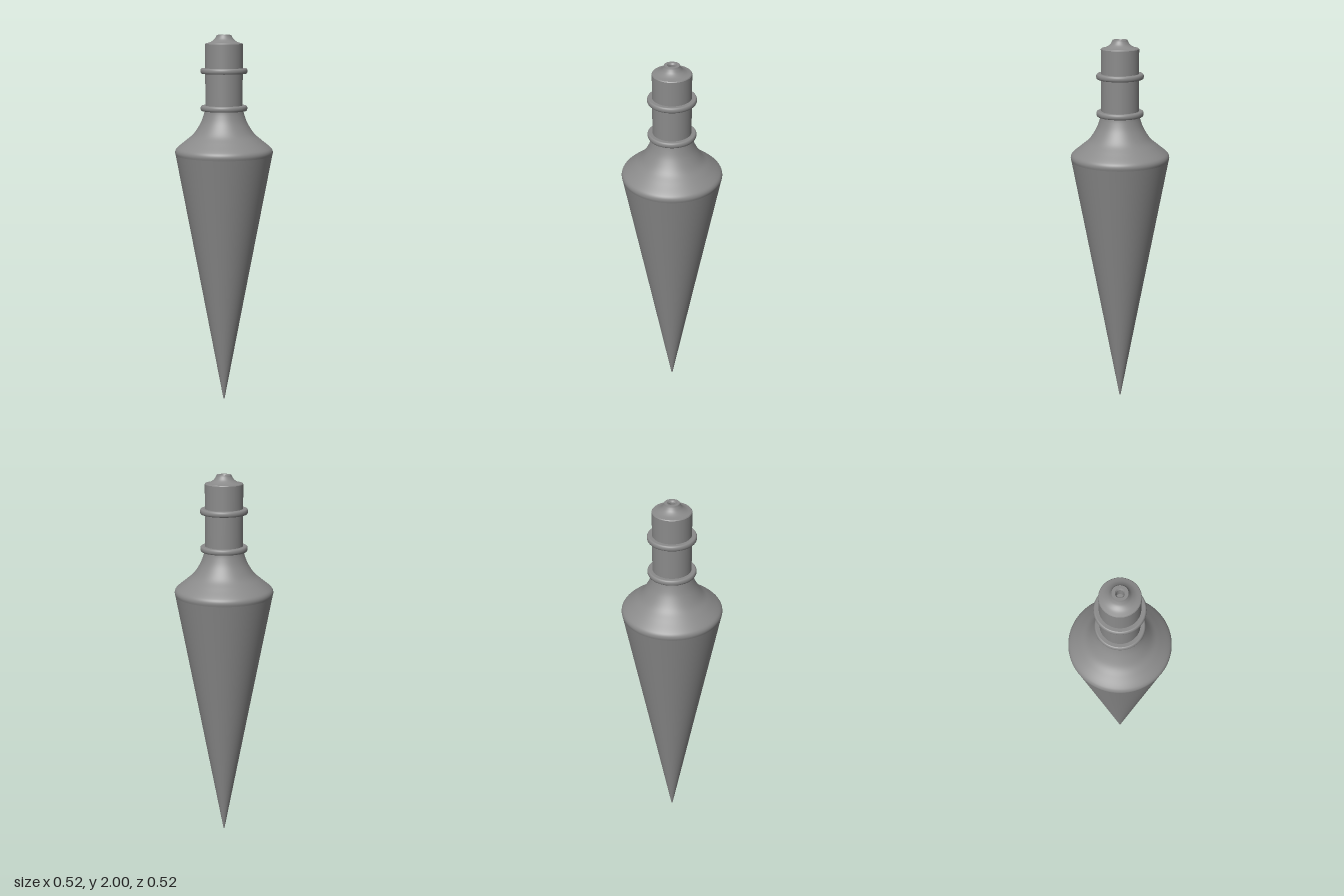
import * as THREE from 'three';

export function createModel() {
  const group = new THREE.Group();
  const steel = new THREE.MeshStandardMaterial({ color: 0x8a8a8a });
  steel.name = 'grey steel';

  const turn = (name, points) => {
    const mesh = new THREE.Mesh(new THREE.LatheGeometry(points, 96), steel);
    mesh.name = name;
    group.add(mesh);
  };
  const pts = (list) => list.map(([r, y]) => new THREE.Vector2(r, y));
  const smooth = (list, n = 24) => new THREE.SplineCurve(pts(list)).getPoints(n);
  // one lathe per segment keeps the edges between them sharp
  const turnSharp = (name, list) => {
    for (let i = 0; i < list.length - 1; i++) turn(name, pts([list[i], list[i + 1]]));
  };

  // Long pointed body with a rounded, flared shoulder
  turn('pointedBody', pts([[0, 0], [0.004, 0.01], [0.129, 0.69], [0.256, 1.375]]));
  turn('shoulder', smooth([
    [0.256, 1.375], [0.259, 1.39], [0.255, 1.405], [0.241, 1.42], [0.2, 1.453],
    [0.159, 1.489], [0.124, 1.543], [0.106, 1.59], [0.1, 1.622],
  ], 40));

  // Neck and cap, with a small chamfer at the top edge
  turnSharp('neck', [[0.098, 1.61], [0.098, 1.815]]);
  turnSharp('cap', [[0.098, 1.815], [0.098, 1.953], [0.095, 1.957]]);

  // Two rounded collars
  for (const [name, y] of [['lowerCollar', 1.622], ['upperCollar', 1.815]]) {
    const h = 0.014;
    turn(name, pts([[0.09, y - h], [0.115, y - h]]));
    const rim = [];
    for (let i = 0; i <= 10; i++) {
      const a = -Math.PI / 2 + (Math.PI * i) / 10;
      rim.push([0.115 + 0.008 * Math.cos(a), y + h * Math.sin(a)]);
    }
    turn(name, pts(rim));
    turn(name, pts([[0.115, y + h], [0.09, y + h]]));
  }

  // Concave top rising to the cord nozzle, with its bore
  turn('nozzleFlare', smooth([[0.095, 1.957], [0.072, 1.963], [0.053, 1.975], [0.042, 1.99], [0.038, 2]]));
  turnSharp('cordHole', [[0.038, 2], [0.023, 2], [0.018, 1.992], [0.018, 1.95], [0, 1.95]]);

  return group;
}
